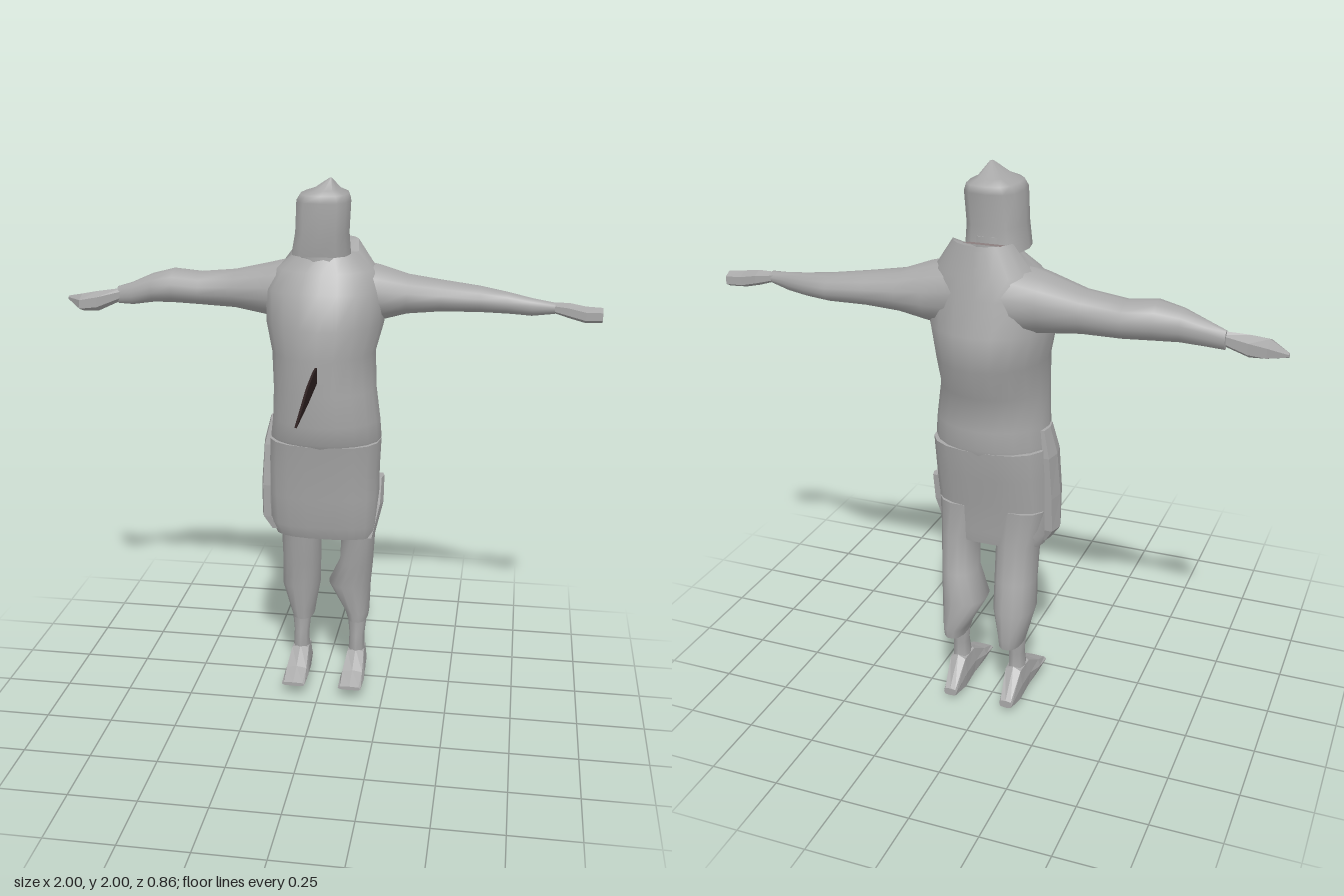
import * as THREE from 'three';

const skin = new THREE.MeshStandardMaterial({ color: 0xa8a8a8, side: THREE.DoubleSide });
skin.name = 'plain grey';
const dark = new THREE.MeshStandardMaterial({ color: 0x2c2020, side: THREE.DoubleSide });
dark.name = 'dark brown';
const lining = new THREE.MeshStandardMaterial({ color: 0x8f8282, side: THREE.DoubleSide });
lining.name = 'collar lining';

// Places a cross-section point (u, v) at distance t along an axis
const place = {
  y: (t, u, v) => [u, t, v],
  x: (t, u, v) => [t, u, v],
  z: (t, u, v) => [u, v, t],
};

// Skin through rounded sections [t, uMin, uMax, vMin, vMax], t ascending
function loft(name, axis, sections, { sides = 16, power = 2, flat = false, shape = null } = {}) {
  const pos = [], idx = [], put = place[axis];
  const tri = (a, b, c) => (axis === 'y' ? idx.push(a, c, b) : idx.push(a, b, c));
  const ringPoint = ([t, u0, u1, v0, v1], j) => {
    const a = (j / sides) * Math.PI * 2;
    const round = (s) => Math.sign(s) * Math.abs(s) ** (2 / power);
    const p = put(t, (u0 + u1) / 2 + round(Math.cos(a)) * (u1 - u0) / 2,
      (v0 + v1) / 2 + round(Math.sin(a)) * (v1 - v0) / 2);
    return shape ? shape(p) : p;
  };
  for (const s of sections) for (let j = 0; j < sides; j++) pos.push(...ringPoint(s, j));
  for (let i = 0; i < sections.length - 1; i++) {
    for (let j = 0; j < sides; j++) {
      const a = i * sides + j, b = i * sides + (j + 1) % sides;
      tri(a, b, a + sides);
      tri(b, b + sides, a + sides);
    }
  }
  // End caps keep their own corners so their rims stay crisp
  for (const last of [false, true]) {
    const s = sections[last ? sections.length - 1 : 0], base = pos.length / 3;
    pos.push(...put(s[0], (s[1] + s[2]) / 2, (s[3] + s[4]) / 2));
    for (let j = 0; j < sides; j++) pos.push(...ringPoint(s, j));
    for (let j = 0; j < sides; j++) {
      const a = base + 1 + j, b = base + 1 + (j + 1) % sides;
      last ? tri(base, a, b) : tri(base, b, a);
    }
  }
  let g = new THREE.BufferGeometry();
  g.setAttribute('position', new THREE.Float32BufferAttribute(pos, 3));
  g.setIndex(idx);
  if (flat) g = g.toNonIndexed();
  g.computeVertexNormals();
  const mesh = new THREE.Mesh(g, skin);
  mesh.name = name;
  return mesh;
}

export function createModel() {
  const model = new THREE.Group();
  model.name = 'figure';

  // Shirt with a rounded belly, hunched back and raised rear collar
  model.add(loft('torso', 'y', [
    [1.01, -0.19, 0.21, -0.33, -0.05],
    [1.05, -0.20, 0.22, -0.345, -0.02],
    [1.12, -0.19, 0.215, -0.345, -0.01],
    [1.24, -0.185, 0.20, -0.345, 0],
    [1.37, -0.195, 0.19, -0.43, 0],
    [1.48, -0.215, 0.22, -0.41, 0],
    [1.60, -0.22, 0.22, -0.385, -0.04],
    [1.67, -0.18, 0.19, -0.37, -0.09],
    [1.73, -0.10, 0.12, -0.35, -0.13],
  ], {
    sides: 20,
    shape: ([x, y, z]) => [x, y > 1.72 && z < -0.27 ? y + 0.04 : y, z],
  }));

  // Lining seen in the gap behind the neck
  const neckGap = new THREE.Mesh(new THREE.PlaneGeometry(0.13, 0.06), lining);
  neckGap.name = 'collarLining';
  neckGap.rotation.x = -Math.PI / 2 + 0.2;
  neckGap.position.set(-0.01, 1.768, -0.305);
  model.add(neckGap);

  // Neck and blocky hooded head
  model.add(loft('neck', 'y', [
    [1.62, -0.10, 0.10, -0.28, -0.11],
    [1.78, -0.09, 0.09, -0.27, -0.12],
  ], { sides: 10 }));
  model.add(loft('head', 'y', [
    [1.73, -0.115, 0.10, -0.27, -0.08],
    [1.81, -0.10, 0.095, -0.265, -0.065],
    [1.92, -0.095, 0.10, -0.275, -0.06],
    [1.945, -0.08, 0.09, -0.275, -0.065],
    [1.96, -0.035, 0.06, -0.24, -0.09],
    [2.00, 0.025, 0.035, -0.15, -0.13],
  ], { sides: 12, power: 2.8 }));

  // Outstretched arms, each tapering to a thin wrist and a flat hand
  model.add(loft('leftArm', 'x', [
    [0.08, 1.46, 1.71, -0.37, -0.12],
    [0.20, 1.475, 1.68, -0.365, -0.14],
    [0.30, 1.50, 1.645, -0.36, -0.18],
    [0.42, 1.51, 1.625, -0.36, -0.20],
    [0.56, 1.51, 1.605, -0.355, -0.225],
    [0.66, 1.51, 1.59, -0.32, -0.23],
    [0.75, 1.51, 1.575, -0.275, -0.225],
    [0.83, 1.525, 1.565, -0.255, -0.205],
  ], { sides: 14 }));
  model.add(loft('leftHand', 'x', [
    [0.80, 1.535, 1.565, -0.255, -0.215],
    [0.88, 1.51, 1.565, -0.27, -0.20],
    [0.94, 1.495, 1.555, -0.27, -0.19],
    [1.00, 1.495, 1.55, -0.27, -0.21],
  ], { sides: 6, flat: true }));
  model.add(loft('rightArm', 'x', [
    [-0.80, 1.50, 1.565, -0.29, -0.25],
    [-0.74, 1.50, 1.585, -0.29, -0.23],
    [-0.66, 1.51, 1.62, -0.325, -0.215],
    [-0.58, 1.51, 1.64, -0.355, -0.20],
    [-0.48, 1.505, 1.63, -0.36, -0.205],
    [-0.34, 1.50, 1.645, -0.355, -0.19],
    [-0.20, 1.48, 1.68, -0.365, -0.14],
    [-0.08, 1.46, 1.71, -0.37, -0.12],
  ], { sides: 14 }));
  model.add(loft('rightHand', 'x', [
    [-1.00, 1.505, 1.52, -0.29, -0.27],
    [-0.93, 1.475, 1.54, -0.285, -0.18],
    [-0.87, 1.475, 1.55, -0.28, -0.205],
    [-0.78, 1.515, 1.56, -0.28, -0.25],
  ], { sides: 6, flat: true }));

  // Loose shorts with a separate hanging flap on each hip
  model.add(loft('shorts', 'y', [
    [0.65, -0.18, 0.20, -0.27, -0.10],
    [0.70, -0.20, 0.21, -0.28, -0.08],
    [0.82, -0.205, 0.215, -0.295, -0.065],
    [0.93, -0.205, 0.215, -0.325, -0.05],
    [1.04, -0.20, 0.22, -0.34, -0.03],
  ], { sides: 18, power: 2.6 }));
  model.add(loft('rightHipFlap', 'y', [
    [0.67, -0.20, -0.16, -0.21, -0.13],
    [0.72, -0.235, -0.18, -0.23, -0.12],
    [0.85, -0.235, -0.18, -0.24, -0.11],
    [1.01, -0.225, -0.18, -0.25, -0.12],
    [1.11, -0.20, -0.17, -0.24, -0.14],
  ], { sides: 6, flat: true }));
  model.add(loft('leftHipFlap', 'y', [
    [0.65, 0.17, 0.20, -0.21, -0.13],
    [0.78, 0.19, 0.23, -0.24, -0.16],
    [0.88, 0.20, 0.23, -0.25, -0.19],
  ], { sides: 6, flat: true }));

  // Trouser legs, ankles and wedge feet
  const legSections = {
    left: [
      [0.265, 0.09, 0.17, -0.34, -0.185],
      [0.30, 0.08, 0.175, -0.345, -0.18],
      [0.42, 0.015, 0.18, -0.345, -0.165],
      [0.52, 0.06, 0.19, -0.315, -0.15],
      [0.66, 0.07, 0.20, -0.285, -0.12],
      [0.80, 0.02, 0.205, -0.29, -0.10],
    ],
    right: [
      [0.265, -0.13, -0.045, -0.34, -0.185],
      [0.30, -0.14, -0.04, -0.345, -0.18],
      [0.41, -0.17, -0.02, -0.345, -0.165],
      [0.52, -0.165, -0.015, -0.315, -0.15],
      [0.66, -0.165, -0.01, -0.285, -0.12],
      [0.80, -0.20, -0.01, -0.29, -0.10],
    ],
  };
  for (const [side, x] of [['left', 0.13], ['right', -0.092]]) {
    model.add(loft(side + 'Leg', 'y', legSections[side], { sides: 14, power: 2.3 }));
    model.add(loft(side + 'Ankle', 'y', [
      [0.04, x - 0.035, x + 0.035, -0.29, -0.20],
      [0.14, x - 0.032, x + 0.032, -0.27, -0.18],
      [0.20, x - 0.03, x + 0.03, -0.265, -0.195],
      [0.30, x - 0.04, x + 0.04, -0.28, -0.19],
    ], { sides: 8 }));
    model.add(loft(side + 'Foot', 'z', [
      [-0.35, x - 0.025, x + 0.025, 0.02, 0.05],
      [-0.27, x - 0.036, x + 0.036, 0, 0.15],
      [-0.19, x - 0.04, x + 0.04, 0.015, 0.15],
      [-0.11, x - 0.05, x + 0.045, 0.03, 0.095],
      [-0.04, x - 0.05, x + 0.04, 0.045, 0.06],
    ], { sides: 8, power: 3.5, flat: true }));
  }

  // Thin dark blade pointing forward from the belly
  const outline = new THREE.Shape([[-0.02, 1.35], [0.06, 1.35], [0.20, 1.33], [0.43, 1.263],
    [0.20, 1.275], [-0.02, 1.295]].map(([z, y]) => new THREE.Vector2(-z, y)));
  const bladeGeometry = new THREE.ExtrudeGeometry(outline, { depth: 0.008, bevelEnabled: false });
  bladeGeometry.translate(0, 0, -0.004).rotateY(Math.PI / 2);
  const blade = new THREE.Mesh(bladeGeometry, dark);
  blade.name = 'blade';
  model.add(blade);

  return model;
}
